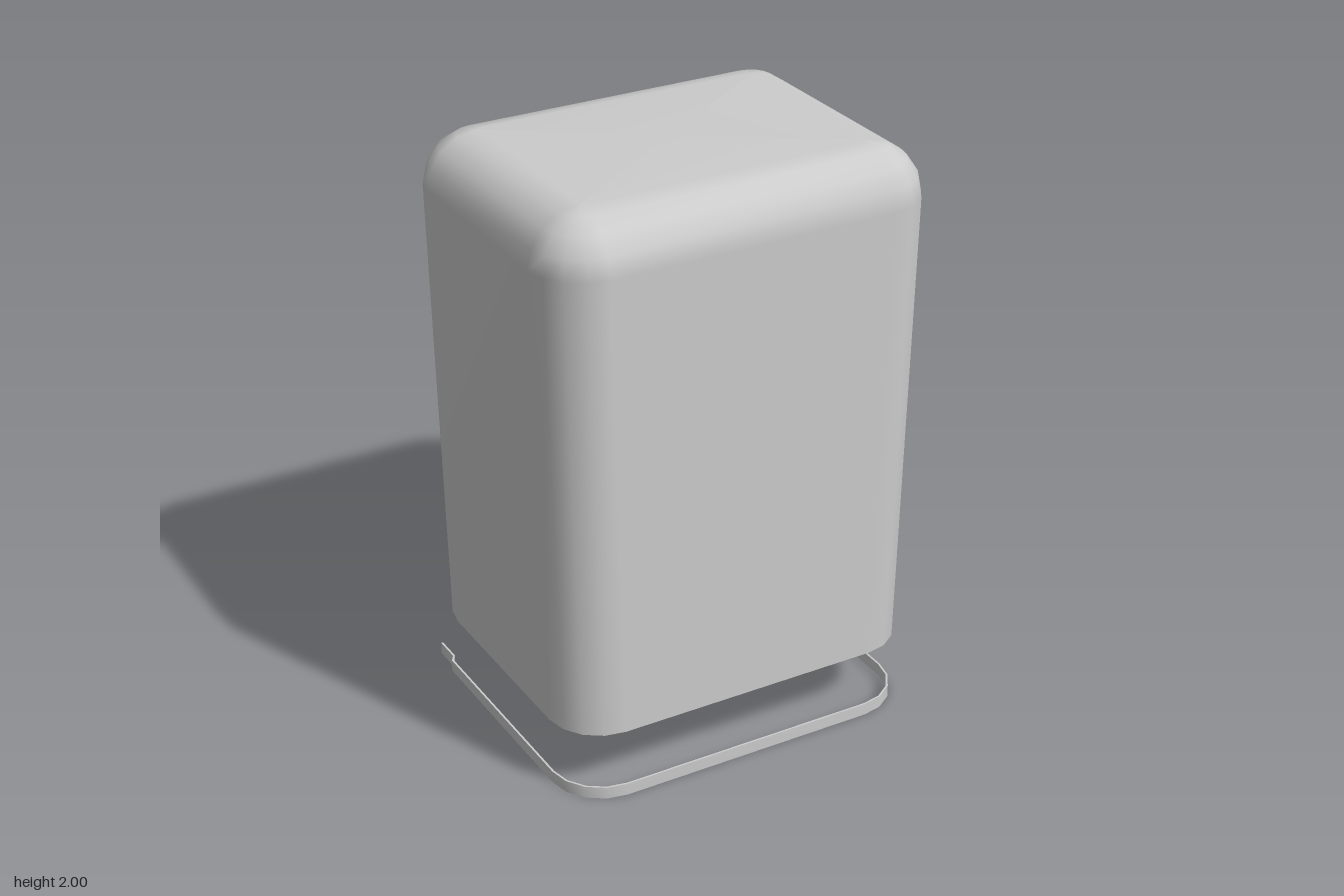
import * as THREE from 'three';
import { toCreasedNormals } from 'three/addons/utils/BufferGeometryUtils.js';

const BACK = -0.51, FRONT = 0.525, CORNER = 0.18, SEGMENTS = 4;
const material = () => new THREE.MeshStandardMaterial({ color: 0xcccccc, side: THREE.DoubleSide });

// Rounded rectangle in plan, pulled in by inset on every side
function ring(halfX, inset, y) {
  const points = [], r = CORNER - inset;
  for (let q = 0; q < 4; q++) {
    const cx = (q === 0 || q === 3 ? 1 : -1) * (halfX - CORNER);
    const cz = q < 2 ? FRONT - CORNER : BACK + CORNER;
    for (let i = 0; i <= SEGMENTS; i++) {
      const a = (q + i / SEGMENTS) * Math.PI / 2;
      points.push([cx + r * Math.cos(a), y, cz + r * Math.sin(a)]);
    }
  }
  return points;
}

// Open-bottomed cover, slightly wider at the top, with a rounded rim
function createCover() {
  const R = 0.175, bottom = 0.245, shoulder = 2 - R;
  const rings = [ring(0.64, 0, bottom)];
  for (let i = 0; i <= SEGMENTS; i++) {
    const a = i / SEGMENTS * Math.PI / 2;
    rings.push(ring(0.675, R * (1 - Math.cos(a)), shoulder + R * Math.sin(a)));
  }
  const n = rings[0].length, index = [];
  const positions = rings.flat(2);
  positions.push(0, 2, (BACK + FRONT) / 2);
  const last = (rings.length - 1) * n, centre = rings.length * n;
  for (let j = 0; j < n; j++) {
    const k = (j + 1) % n;
    for (let i = 0; i < rings.length - 1; i++) {
      const a = i * n + j, b = i * n + k;
      index.push(a, a + n, b, b, a + n, b + n);
    }
    index.push(centre, last + k, last + j);
  }
  const geometry = new THREE.BufferGeometry();
  geometry.setAttribute('position', new THREE.Float32BufferAttribute(positions, 3));
  geometry.setIndex(index);
  geometry.computeVertexNormals();
  const mesh = new THREE.Mesh(geometry, material());
  mesh.name = 'cover';
  return mesh;
}

// Thin U-shaped band around the front and sides, with stepped-in rear tabs
function createBand() {
  const halfX = 0.635, thickness = 0.007, height = 0.042;
  const half = (t) => {
    const points = [], r = CORNER - t;
    for (let i = 0; i <= SEGMENTS; i++) {
      const a = (1 - i / SEGMENTS) * Math.PI / 2;
      points.push([halfX - CORNER + r * Math.cos(a), FRONT - CORNER + r * Math.sin(a)]);
    }
    points.push([halfX - t, -0.405], [halfX - 0.016 - t, -0.43], [halfX - 0.016 - t, -0.525]);
    return points;
  };
  const mirror = (points) => points.map(([x, z]) => [-x, z]);
  const outer = half(0), inner = half(thickness);
  const outline = [
    ...mirror(outer).reverse(), ...outer,
    ...[...inner].reverse(), ...mirror(inner),
  ].map(([x, z]) => new THREE.Vector2(x, -z));
  const geometry = new THREE.ExtrudeGeometry(new THREE.Shape(outline), { depth: height, bevelEnabled: false });
  geometry.rotateX(-Math.PI / 2);
  const mesh = new THREE.Mesh(toCreasedNormals(geometry, 0.6), material());
  mesh.name = 'baseBand';
  return mesh;
}

export function createModel() {
  const group = new THREE.Group();
  group.name = 'coverWithBand';
  group.add(createCover(), createBand());
  return group;
}
